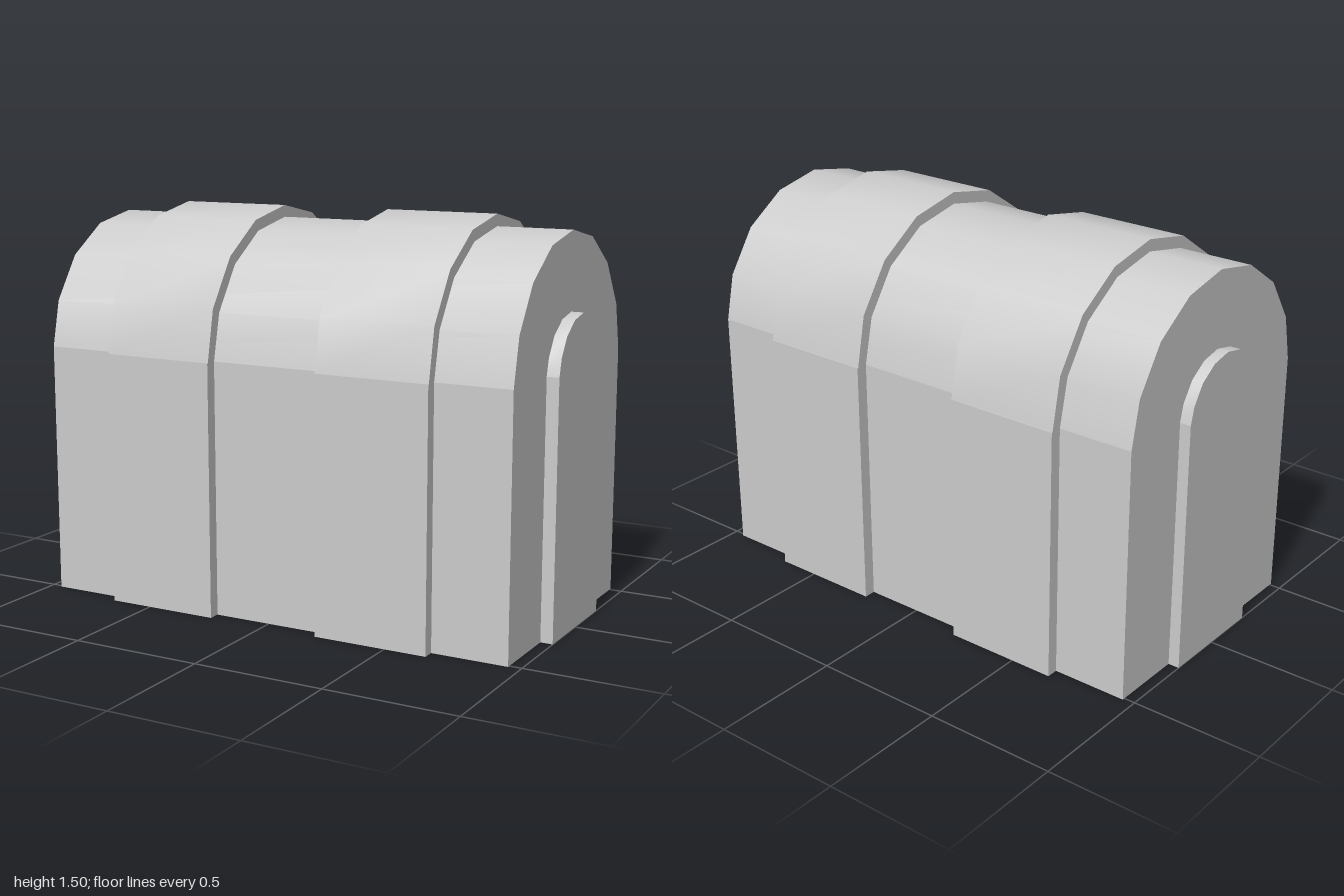
import * as THREE from 'three';
import { toCreasedNormals } from 'three/addons/utils/BufferGeometryUtils.js';

const SPRING = 0.96;   // top of the straight walls
const CENTRE = 0.94;   // centre height of the vaults
const SEGMENTS = 8;
const material = new THREE.MeshStandardMaterial({ color: 0xcccccc });

// Straight-walled block with a faceted half-round vault, running along x.
// inset leaves a narrow ledge where the vault meets the wall.
function vaultedBlock(name, x, length, radius, inset = 0) {
  const group = new THREE.Group();
  group.name = name;
  group.position.x = x;

  const walls = new THREE.Mesh(new THREE.BoxGeometry(length, SPRING, radius * 2), material);
  walls.name = name + 'Walls';
  walls.position.y = SPRING / 2;

  const foot = radius - inset;
  const points = [new THREE.Vector2(foot, SPRING)];
  for (let i = 1; i < SEGMENTS; i++) {
    const a = (i / SEGMENTS) * Math.PI;
    points.push(new THREE.Vector2(radius * Math.cos(a), CENTRE + radius * Math.sin(a)));
  }
  points.push(new THREE.Vector2(-foot, SPRING));
  const extruded = new THREE.ExtrudeGeometry(new THREE.Shape(points), { depth: length, bevelEnabled: false });
  extruded.translate(0, 0, -length / 2).rotateY(Math.PI / 2);
  const vault = new THREE.Mesh(toCreasedNormals(extruded, Math.PI / 6), material);
  vault.name = name + 'Vault';

  group.add(walls, vault);
  return group;
}

export function createModel() {
  const model = new THREE.Group();
  model.name = 'vaultedBuilding';

  // Main hall
  model.add(vaultedBlock('hall', -0.002, 1.91, 0.51));

  // Raised bands and end doors, mirrored in x
  for (const [side, s] of [['left', 1], ['right', -1]]) {
    model.add(vaultedBlock(side + 'Band', s * 0.443 - 0.002, 0.442, 0.555, 0.004));
    model.add(vaultedBlock(side + 'Door', s * 0.97, 0.06, 0.22));
  }
  return model;
}
